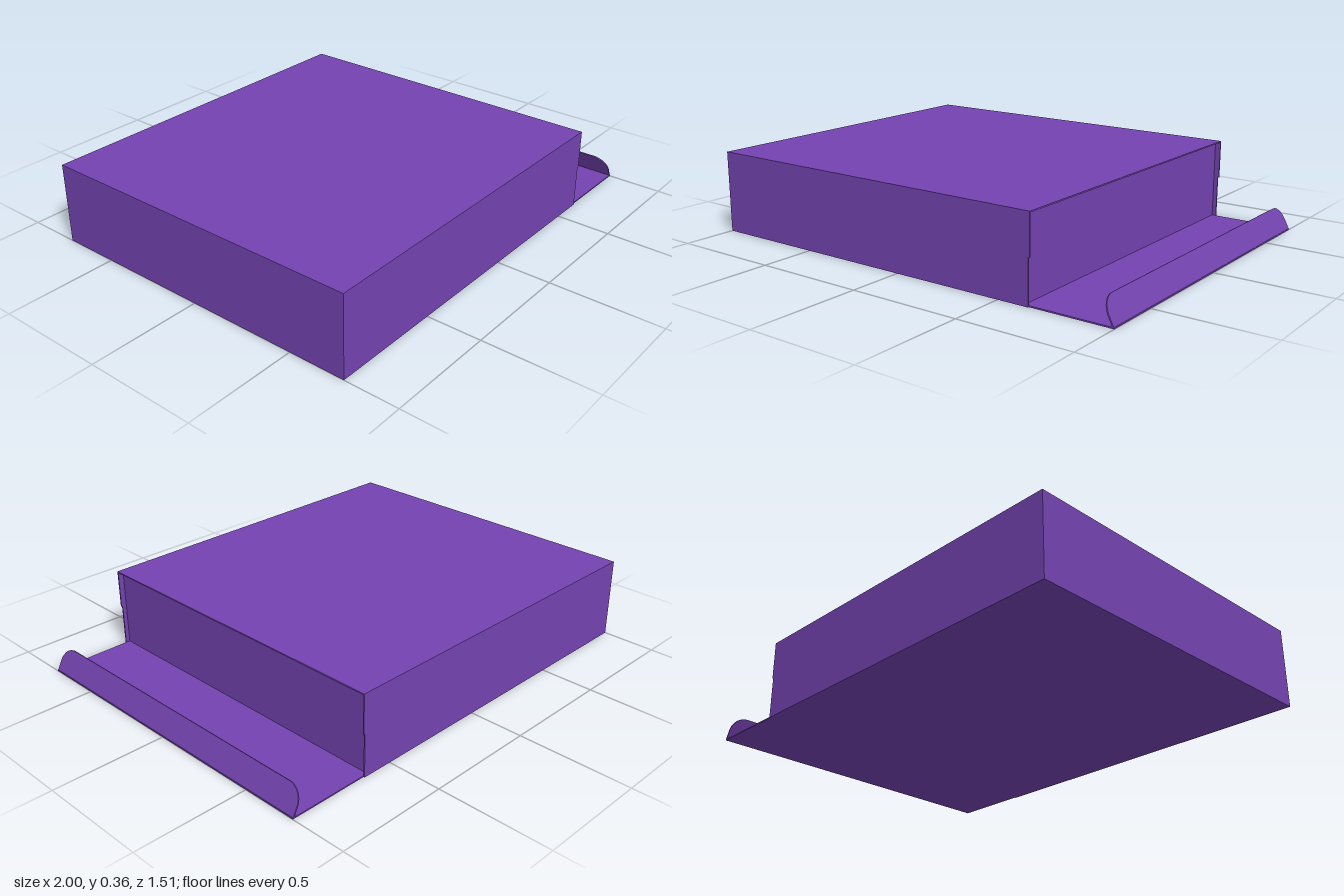
import * as THREE from 'three';

const T = 0.006;           // sheet thickness
const X0 = -1, X1 = 0.645; // carton ends
const H = 0.363;           // carton height
const Z = 0.757;           // carton half width
const TONGUE_Z = 0.752;    // half width of the base sheet and lip

export function createModel() {
  const group = new THREE.Group();
  const material = new THREE.MeshStandardMaterial({ color: 0x7443b1 });

  const add = (name, geometry) => {
    const mesh = new THREE.Mesh(geometry, material);
    mesh.name = name;
    group.add(mesh);
    return mesh;
  };
  // Box given by its lower and upper corners
  const panel = (name, a, b) => {
    const g = new THREE.BoxGeometry(b[0] - a[0], b[1] - a[1], b[2] - a[2]);
    g.translate((a[0] + b[0]) / 2, (a[1] + b[1]) / 2, (a[2] + b[2]) / 2);
    return add(name, g);
  };

  // Base sheet runs past the carton as a tongue
  panel('baseSheet', [X0, 0, -TONGUE_Z], [1, T, TONGUE_Z]);
  panel('topPanel', [X0, H - T, -Z], [X1, H, Z]);
  panel('endPanel', [X0, 0, -Z], [X0 + T, H - T, Z]);

  // Inner wall set slightly back from the carton's edge
  panel('recessedWall', [X1 - 0.025 - T, T, -Z + T], [X1 - 0.025, H - T, Z - T]);

  // Side panels, with a small step halfway up the free edge
  const side = new THREE.Shape([
    [X0 + T, 0], [X1 - 0.006, 0], [X1 - 0.006, 0.19], [X1, 0.19], [X1, H - T], [X0 + T, H - T],
  ].map(([x, y]) => new THREE.Vector2(x, y)));
  for (const [name, z] of [['leftSidePanel', Z - T], ['rightSidePanel', -Z]]) {
    const g = new THREE.ExtrudeGeometry(side, { depth: T, bevelEnabled: false });
    add(name, g).position.z = z;
  }

  // Lip folded up and inward, with rounded upper corners
  const w = TONGUE_Z, h = 0.115, r = 0.07;
  const lip = new THREE.Shape();
  lip.moveTo(-w, 0);
  lip.lineTo(w, 0);
  lip.lineTo(w, h - r);
  lip.absarc(w - r, h - r, r, 0, Math.PI / 2, false);
  lip.lineTo(-w + r, h);
  lip.absarc(-w + r, h - r, r, Math.PI / 2, Math.PI, false);
  lip.closePath();
  const lipGeometry = new THREE.ExtrudeGeometry(lip, { depth: T, bevelEnabled: false, curveSegments: 12 });
  lipGeometry.rotateY(Math.PI / 2).translate(-T, 0, 0);
  const lipMesh = add('foldedLip', lipGeometry);
  lipMesh.rotation.z = 0.467;
  lipMesh.position.set(1, 0.003, 0);

  return group;
}
